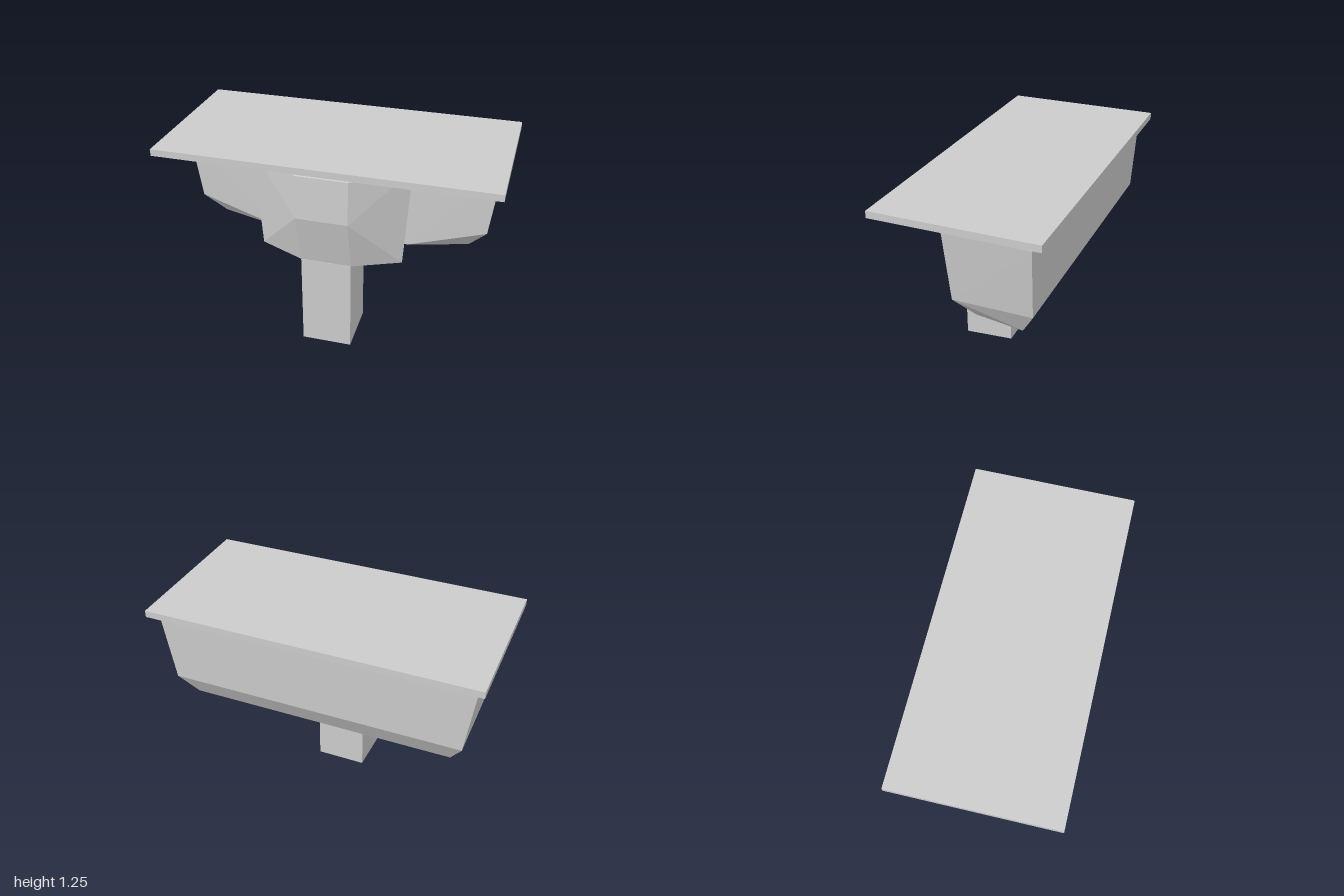
import * as THREE from 'three';
import { ConvexGeometry } from 'three/addons/geometries/ConvexGeometry.js';

const material = new THREE.MeshStandardMaterial({ color: 0xcccccc, flatShading: true });

// Faceted solid from the corners of its left half, mirrored across x = 0
function mirroredSolid(name, corners) {
  const points = [];
  for (const [x, y, z] of corners) {
    for (const side of [1, -1]) points.push(new THREE.Vector3(side * x, y, z));
  }
  const mesh = new THREE.Mesh(new ConvexGeometry(points), material);
  mesh.name = name;
  return mesh;
}

export function createModel() {
  const model = new THREE.Group();
  model.name = 'model';

  // Flat top slab with a bevelled underside
  model.add(mirroredSolid('topSlab', [
    [1, 1.253, 0.485], [1, 1.253, -0.485],
    [1, 1.212, 0.485], [1, 1.212, -0.485],
    [0.95, 1.195, 0.42], [0.95, 1.195, -0.42],
  ]));

  // Wide rear body, tapering down with cut lower corners
  model.add(mirroredSolid('rearBody', [
    [0.955, 1.193, 0.08], [0.955, 1.183, -0.415],
    [0.9, 0.76, 0.065], [0.9, 0.76, -0.4],
    [0.43, 0.607, 0.065], [0.79, 0.62, -0.02], [0.82, 0.607, -0.31],
  ]));

  // Faceted front bulge
  model.add(mirroredSolid('frontBulge', [
    [0.155, 1.177, 0.435], [0.155, 0.91, 0.445], [0.155, 0.588, 0.365],
    [0.475, 1.21, 0.242], [0.435, 0.588, 0.242],
    [0.45, 1.2, 0.085], [0.41, 0.607, 0.092],
  ]));

  // Square post below the bulge, its ends slightly sloped
  model.add(mirroredSolid('post', [
    [0.153, 0.586, 0.365], [0.153, 0.57, 0.052],
    [0.153, 0, 0.365], [0.153, 0.02, 0.052],
  ]));

  return model;
}
